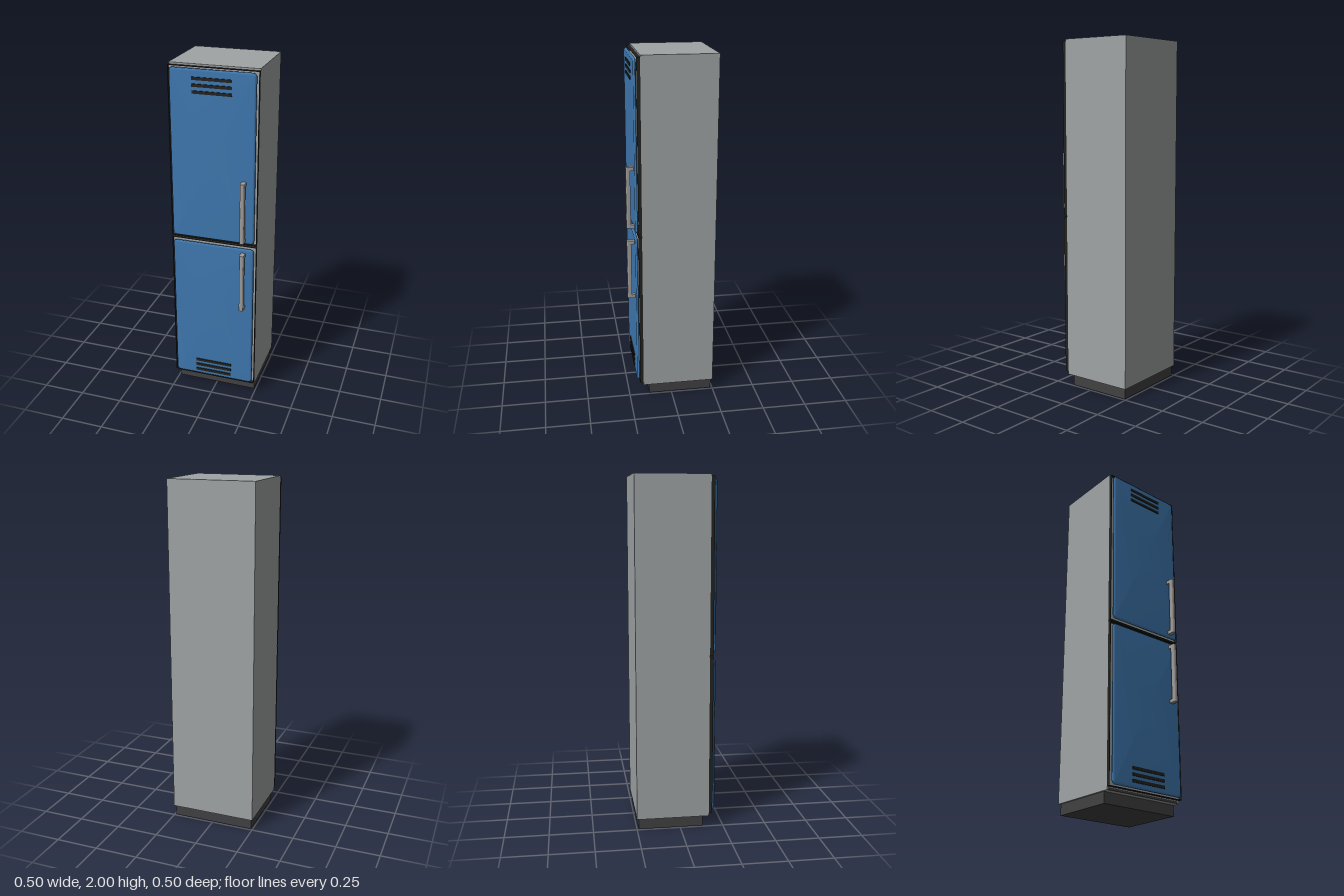
import * as THREE from 'three';

const mat = (name, color, side = THREE.FrontSide) => {
  const m = new THREE.MeshStandardMaterial({ color, side });
  m.name = name;
  return m;
};

// Counter-clockwise outline of a rounded rectangle
function roundedOutline(w, h, r, seg = 5) {
  const pts = [];
  [[1, 1], [-1, 1], [-1, -1], [1, -1]].forEach(([sx, sy], q) => {
    for (let i = 0; i <= seg; i++) {
      const a = (q + i / seg) * Math.PI / 2;
      pts.push([sx * (w / 2 - r) + r * Math.cos(a), sy * (h / 2 - r) + r * Math.sin(a)]);
    }
  });
  return pts;
}

// Softly pillowed door skin: stacked outlines closed by a fan at each end
function doorGeometry(w, h) {
  const layers = [[0.008, 0.187], [0, 0.191], [0.003, 0.196], [0.012, 0.203]];
  const pos = [], idx = [];
  let n = 0;
  for (const [inset, z] of layers) {
    const ring = roundedOutline(w - 2 * inset, h - 2 * inset, 0.02 - inset);
    n = ring.length;
    ring.forEach(([x, y]) => pos.push(x, y, z));
  }
  const last = layers.length - 1, back = n * layers.length, front = back + 1;
  pos.push(0, 0, layers[0][1], 0, 0, layers[last][1]);
  for (let i = 0; i < n; i++) {
    const j = (i + 1) % n;
    for (let k = 0; k < last; k++) {
      const a = k * n + i, b = k * n + j;
      idx.push(a, b, b + n, a, b + n, a + n);
    }
    idx.push(back, j, i, front, last * n + i, last * n + j);
  }
  const g = new THREE.BufferGeometry();
  g.setAttribute('position', new THREE.Float32BufferAttribute(pos, 3));
  g.setIndex(idx);
  g.computeVertexNormals();
  return g;
}

// Upright handle bar with a rounded front
function barGeometry(height) {
  const s = new THREE.Shape();
  s.moveTo(-0.013, 0.024);
  s.lineTo(-0.013, 0.009);
  s.quadraticCurveTo(-0.012, 0, -0.004, 0);
  s.lineTo(0.004, 0);
  s.quadraticCurveTo(0.012, 0, 0.013, 0.009);
  s.lineTo(0.013, 0.024);
  s.closePath();
  const g = new THREE.ExtrudeGeometry(s, { depth: height, bevelEnabled: false, curveSegments: 4 });
  g.rotateX(-Math.PI / 2); // shape y becomes -z, depth becomes y
  return g;
}

export function createModel() {
  const grey = mat('cabinet grey', 0xa0a4a5);
  const blue = mat('door blue', 0x3f78b0);
  const black = mat('seal black', 0x232321, THREE.DoubleSide);
  const dark = mat('plinth charcoal', 0x414143);
  const steel = mat('handle steel', 0x9f9d9a);

  const root = new THREE.Group();
  root.name = 'tallCabinet';
  const add = (parent, name, geo, m, x = 0, y = 0, z = 0) => {
    const mesh = new THREE.Mesh(geo, m);
    mesh.name = name;
    mesh.position.set(x, y, z);
    parent.add(mesh);
    return mesh;
  };
  // Box given by its minimum and maximum corners
  const box = (parent, name, m, a, b) => add(parent, name,
    new THREE.BoxGeometry(b[0] - a[0], b[1] - a[1], b[2] - a[2]), m,
    (a[0] + b[0]) / 2, (a[1] + b[1]) / 2, (a[2] + b[2]) / 2);

  // Carcass and recessed plinth
  box(root, 'body', grey, [-0.25, 0.062, -0.25], [0.25, 2, 0.167]);
  box(root, 'plinth', dark, [-0.24, 0, -0.24], [0.24, 0.0615, 0.133]);
  box(root, 'plinthTrim', dark, [-0.238, 0.062, 0.166], [0.238, 0.075, 0.168]);

  const doors = [
    { name: 'upperDoor', seal: [1.01, 1.99], panel: [1.02, 1.982], handle: [1.04, 1.393], vents: [1.861, 1.897, 1.933] },
    { name: 'lowerDoor', seal: [0.08, 1.0], panel: [0.088, 0.988], handle: [0.612, 0.965], vents: [0.124, 0.158, 0.192] },
  ];

  for (const d of doors) {
    const g = new THREE.Group();
    g.name = d.name;
    root.add(g);

    // Thin seal strips around the opening
    const [s0, s1] = d.seal, zMid = 0.177, t = 0.002;
    for (const s of [-1, 1]) {
      add(g, 'sealSide', new THREE.BoxGeometry(t, s1 - s0, 0.02), black, s * (0.25 - t / 2), (s0 + s1) / 2, zMid);
      add(g, 'sealEnd', new THREE.BoxGeometry(0.5, t, 0.02), black, 0,
        s < 0 ? s0 + t / 2 : s1 - t / 2, zMid);
    }

    // Blue door skin
    const [p0, p1] = d.panel;
    add(g, 'doorPanel', doorGeometry(0.478, p1 - p0), blue, 0, (p0 + p1) / 2, 0);

    // Vent slots
    for (const y of d.vents)
      box(g, 'ventSlot', black, [-0.11, y - 0.008, 0.2], [0.11, y + 0.008, 0.208]);

    // Handle: bar on two posts
    const [h0, h1] = d.handle;
    const handle = new THREE.Group();
    handle.name = 'handle';
    g.add(handle);
    add(handle, 'handleBar', barGeometry(h1 - h0), steel, 0.18, h0, 0.246);
    for (const y of [h0, h1 - 0.02])
      box(handle, 'handlePost', steel, [0.167, y, 0.2], [0.193, y + 0.02, 0.2225]);
  }
  return root;
}
